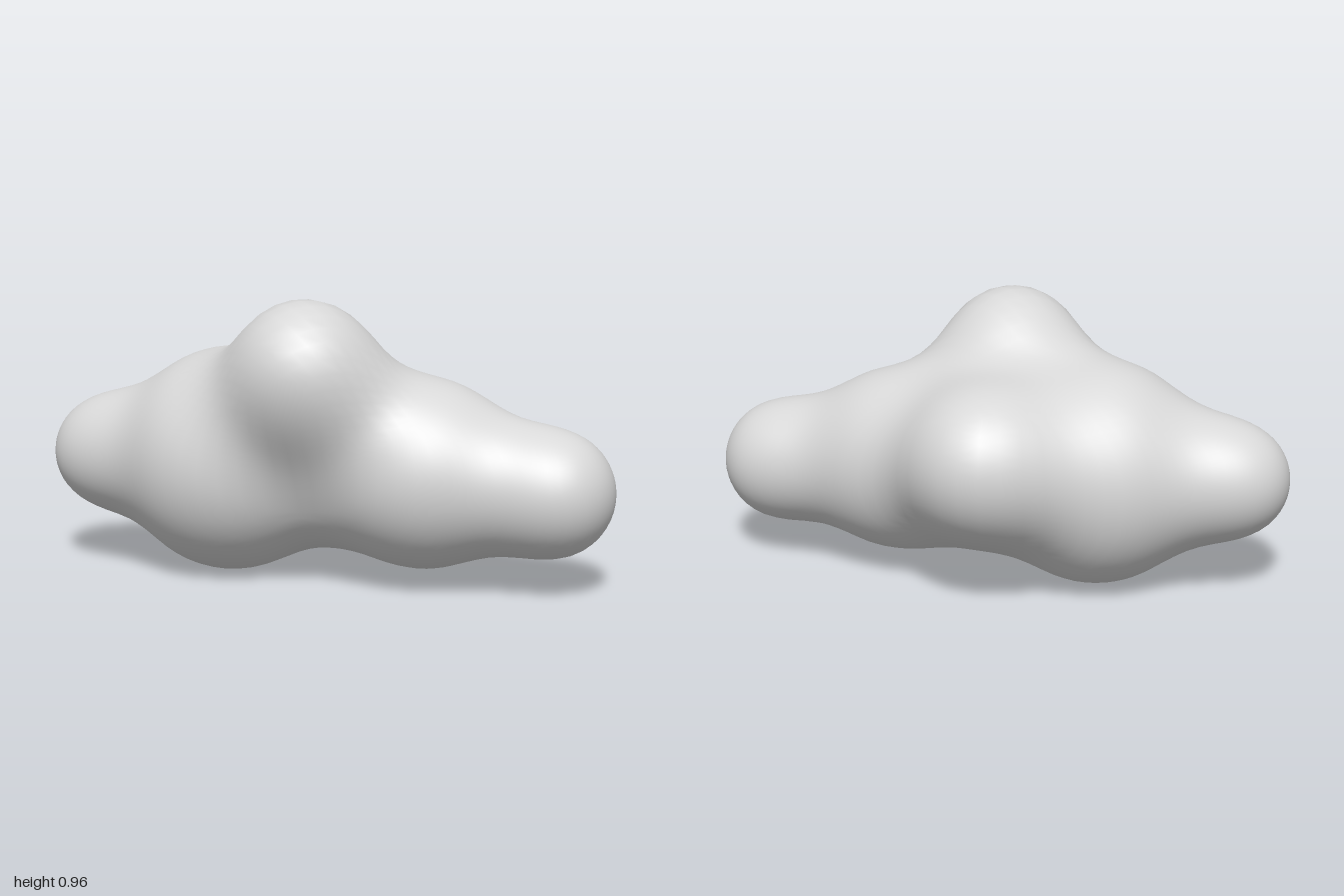
import * as THREE from 'three';
import { mergeVertices } from 'three/addons/utils/BufferGeometryUtils.js';

// Puffs of the cloud: x, y, z, radius
const PUFFS = [
  [-0.34, 0.39, 0.055, 0.385],  // large body puff
  [0.36, 0.38, 0.075, 0.317],   // second body puff
  [0.08, 0.42, 0, 0.26],        // core between the body puffs
  [0, 0.72, 0.265, 0.245],      // upper front puff
  [-0.03, 0.485, -0.27, 0.24],  // back puff
  [-0.802, 0.39, 0.065, 0.197], // right end puff
  [0.785, 0.34, 0.08, 0.213],   // left end puff
];
const BLEND = 0.22;

// Distance to the softly merged puffs
function distance(p) {
  let d = Infinity;
  for (const [x, y, z, r] of PUFFS) {
    const e = Math.hypot(p.x - x, p.y - y, p.z - z) - r;
    const h = Math.max(BLEND - Math.abs(d - e), 0) / BLEND;
    d = Math.min(d, e) - h * h * BLEND / 4;
  }
  return d;
}

// Shrink-wraps a sphere, stretched along x, onto the merged puffs
function wrapGeometry() {
  let geo = new THREE.IcosahedronGeometry(1, 18);
  geo.deleteAttribute('uv');
  geo.deleteAttribute('normal');
  geo = mergeVertices(geo, 1e-4);
  const pos = geo.attributes.position;
  const dir = new THREE.Vector3(), start = new THREE.Vector3(), p = new THREE.Vector3();
  for (let i = 0; i < pos.count; i++) {
    dir.fromBufferAttribute(pos, i).normalize();
    start.set(dir.x * 0.72, 0.4, 0.06);
    let t = 1.2;
    for (let n = 0; n < 120; n++) {
      const d = distance(p.copy(start).addScaledVector(dir, t));
      if (d < 1e-4) break;
      t -= d * 0.9;
    }
    pos.setXYZ(i, p.x, p.y, p.z);
  }
  geo.computeVertexNormals();
  return geo;
}

export function createModel() {
  const group = new THREE.Group();
  group.name = 'cloud';
  const paleGrey = new THREE.MeshStandardMaterial({ color: 0xd8d8d8 });
  paleGrey.name = 'paleGrey';
  const body = new THREE.Mesh(wrapGeometry(), paleGrey);
  body.name = 'cloudBody';
  group.add(body);
  return group;
}
